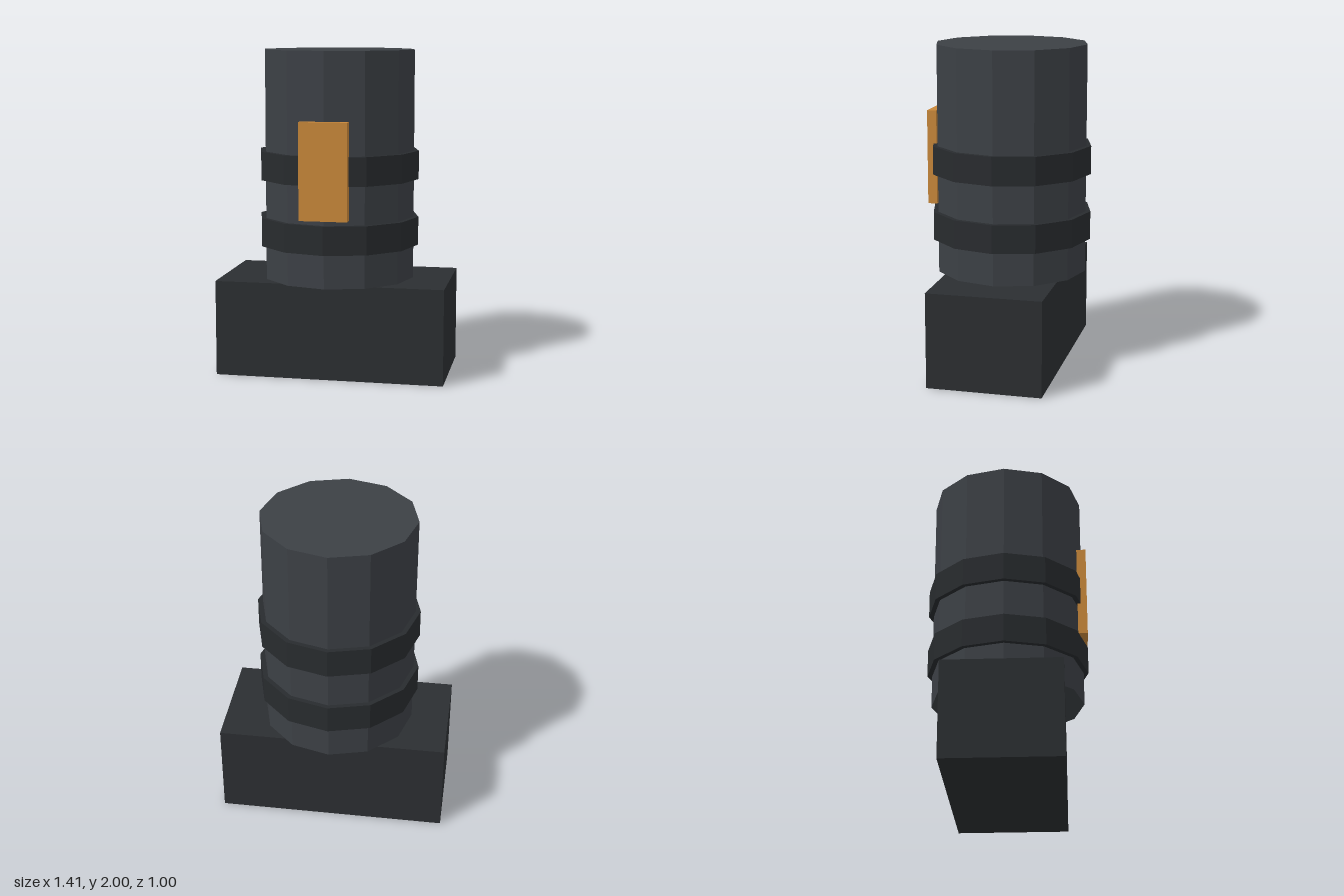
import * as THREE from 'three';

const paint = (color) => new THREE.MeshStandardMaterial({ color, flatShading: true });

export function createModel() {
  const model = new THREE.Group();
  const baseMat = paint(0x2b2e31);
  const bodyMat = paint(0x3c4045);
  const bandMat = paint(0x282b2e);
  const plateMat = paint(0xc8873a);

  const add = (name, geometry, material, y, z = 0) => {
    const mesh = new THREE.Mesh(geometry, material);
    mesh.name = name;
    mesh.position.set(0, y, z);
    model.add(mesh);
  };
  // Twelve-sided drum with a corner facing the front
  const drum = (radius, height) => new THREE.CylinderGeometry(radius, radius, height, 12);

  // Rectangular foot
  add('base', new THREE.BoxGeometry(1.41, 0.59, 0.706), baseMat, 0.295);

  // Upright body
  add('body', drum(0.47, 1.41), bodyMat, 1.295);

  // Raised bands around the body
  add('lowerBand', drum(0.5, 0.175), bandMat, 0.885);
  add('upperBand', drum(0.5, 0.175), bandMat, 1.295);

  // Plate on the front
  add('frontPlate', new THREE.BoxGeometry(0.292, 0.585, 0.058), plateMat, 1.295, 0.471);

  return model;
}
